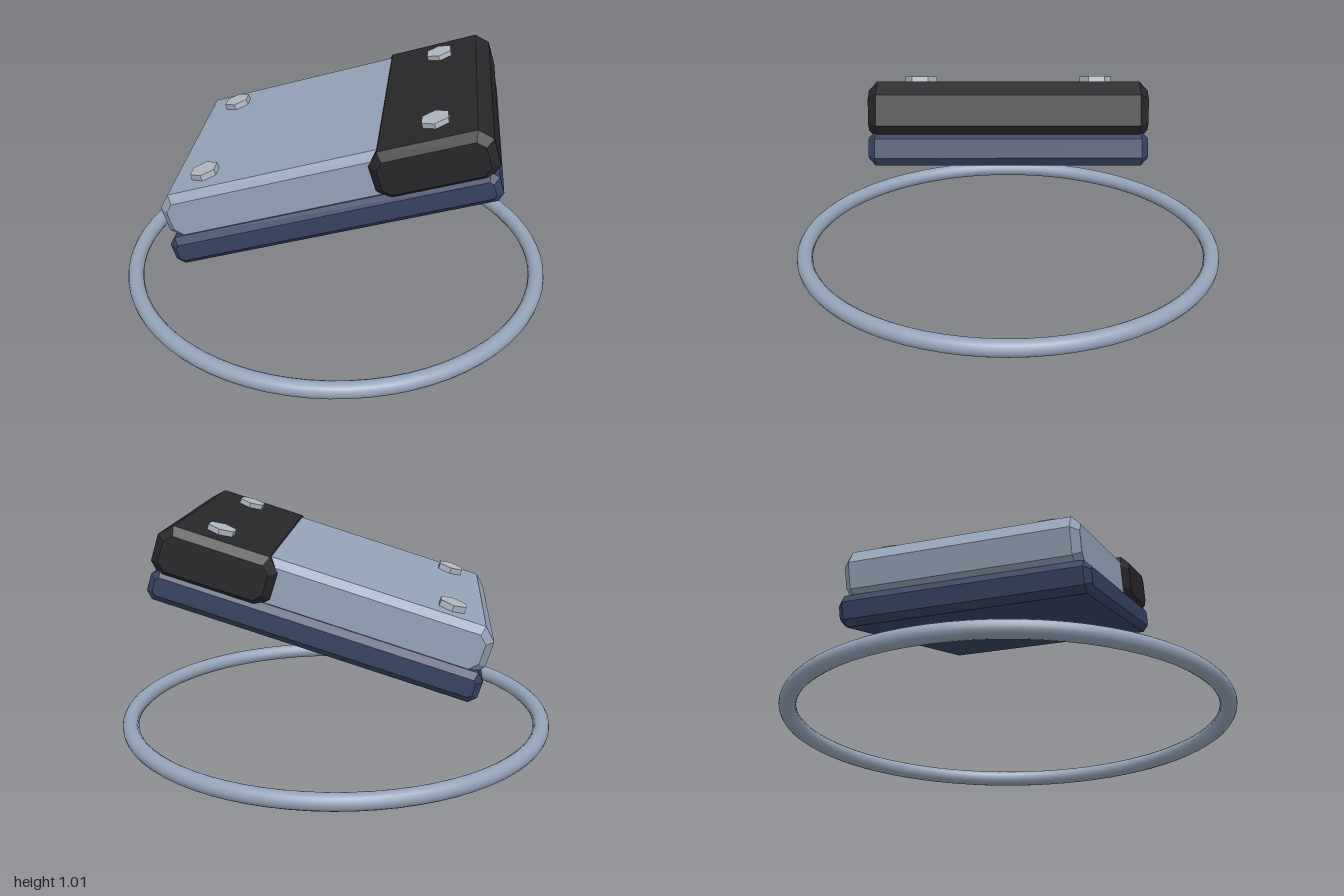
import * as THREE from 'three';

const mat = (color, flatShading = true) => new THREE.MeshStandardMaterial({ color, flatShading });

// Box spanning u0..u1, v0..v1 and -z..z with every edge chamfered
function chamferedBox(name, [u0, u1, v0, v1, z], cut, bevel, material) {
  const shape = new THREE.Shape([
    [u0 + cut, v0], [u1 - cut, v0], [u1, v0 + cut], [u1, v1 - cut],
    [u1 - cut, v1], [u0 + cut, v1], [u0, v1 - cut], [u0, v0 + cut],
  ].map(([u, v]) => new THREE.Vector2(u, v)));
  const depth = 2 * (z - bevel);
  const geometry = new THREE.ExtrudeGeometry(shape, {
    depth, bevelEnabled: true, bevelSegments: 1,
    bevelSize: bevel, bevelThickness: bevel, bevelOffset: -bevel,
  });
  geometry.translate(0, 0, -depth / 2);
  const mesh = new THREE.Mesh(geometry, material);
  mesh.name = name;
  return mesh;
}

export function createModel() {
  const model = new THREE.Group();
  model.name = 'hoveringPlate';

  // Ring lying on the ground
  const ring = new THREE.Mesh(new THREE.TorusGeometry(0.963, 0.037, 16, 72), mat(0x94a3b8, false));
  ring.name = 'groundRing';
  ring.rotation.x = Math.PI / 2;
  ring.position.y = 0.04;
  model.add(ring);

  // Tilted block: base slab, light upper body and dark end cap
  const block = new THREE.Group();
  block.name = 'tiltedBlock';
  block.rotation.z = 0.3;
  block.add(
    chamferedBox('baseSlab', [-0.515, 0.925, 0.463, 0.597, 0.543], 0.03, 0.028, mat(0x364360)),
    chamferedBox('upperBody', [-0.507, 0.8, 0.565, 0.785, 0.51], 0.053, 0.033, mat(0x94a3b8)),
    chamferedBox('endCap', [0.423, 0.941, 0.565, 0.789, 0.543], 0.053, 0.035, mat(0x27272a)),
  );

  // Hexagonal bolts at the four corners
  const boltGeometry = new THREE.CylinderGeometry(0.064, 0.064, 0.06, 6);
  const boltMaterial = mat(0xb0b8c0);
  for (const u of [-0.307, 0.717]) {
    for (const z of [-0.353, 0.353]) {
      const bolt = new THREE.Mesh(boltGeometry, boltMaterial);
      bolt.name = 'hexBolt';
      bolt.position.set(u, 0.782, z);
      block.add(bolt);
    }
  }
  model.add(block);
  return model;
}
